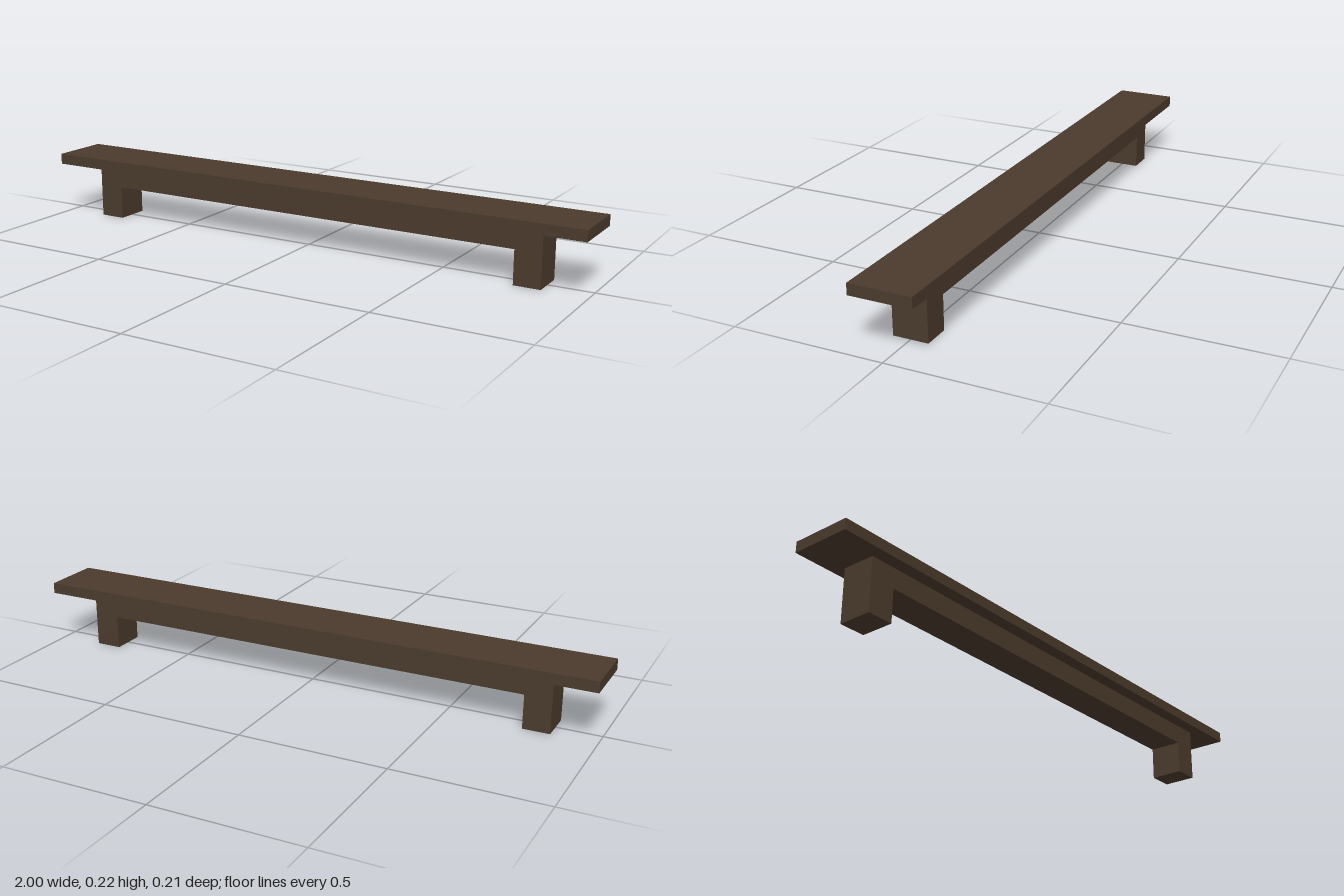
import * as THREE from 'three';

export function createModel() {
  const model = new THREE.Group();
  model.name = 'bench';

  const darkWood = new THREE.MeshStandardMaterial({ color: 0x4a3a2c });
  darkWood.name = 'darkWood';

  const topY = 0.221, seatBottom = 0.184, railBottom = 0.115;
  const legOuter = 0.85, legInner = 0.76, baseDepth = 0.116;

  // Seat plank
  const seat = new THREE.Mesh(new THREE.BoxGeometry(2, topY - seatBottom, 0.206), darkWood);
  seat.name = 'seat';
  seat.position.y = (topY + seatBottom) / 2;
  model.add(seat);

  // Legs and rail as one flush frame
  const outline = new THREE.Shape([
    [-legOuter, 0], [-legInner, 0], [-legInner, railBottom], [legInner, railBottom],
    [legInner, 0], [legOuter, 0], [legOuter, seatBottom], [-legOuter, seatBottom],
  ].map(([x, y]) => new THREE.Vector2(x, y)));
  const frameGeometry = new THREE.ExtrudeGeometry(outline, { depth: baseDepth, bevelEnabled: false });
  frameGeometry.translate(0, 0, -baseDepth / 2);
  const frame = new THREE.Mesh(frameGeometry, darkWood);
  frame.name = 'legFrame';
  model.add(frame);

  return model;
}
